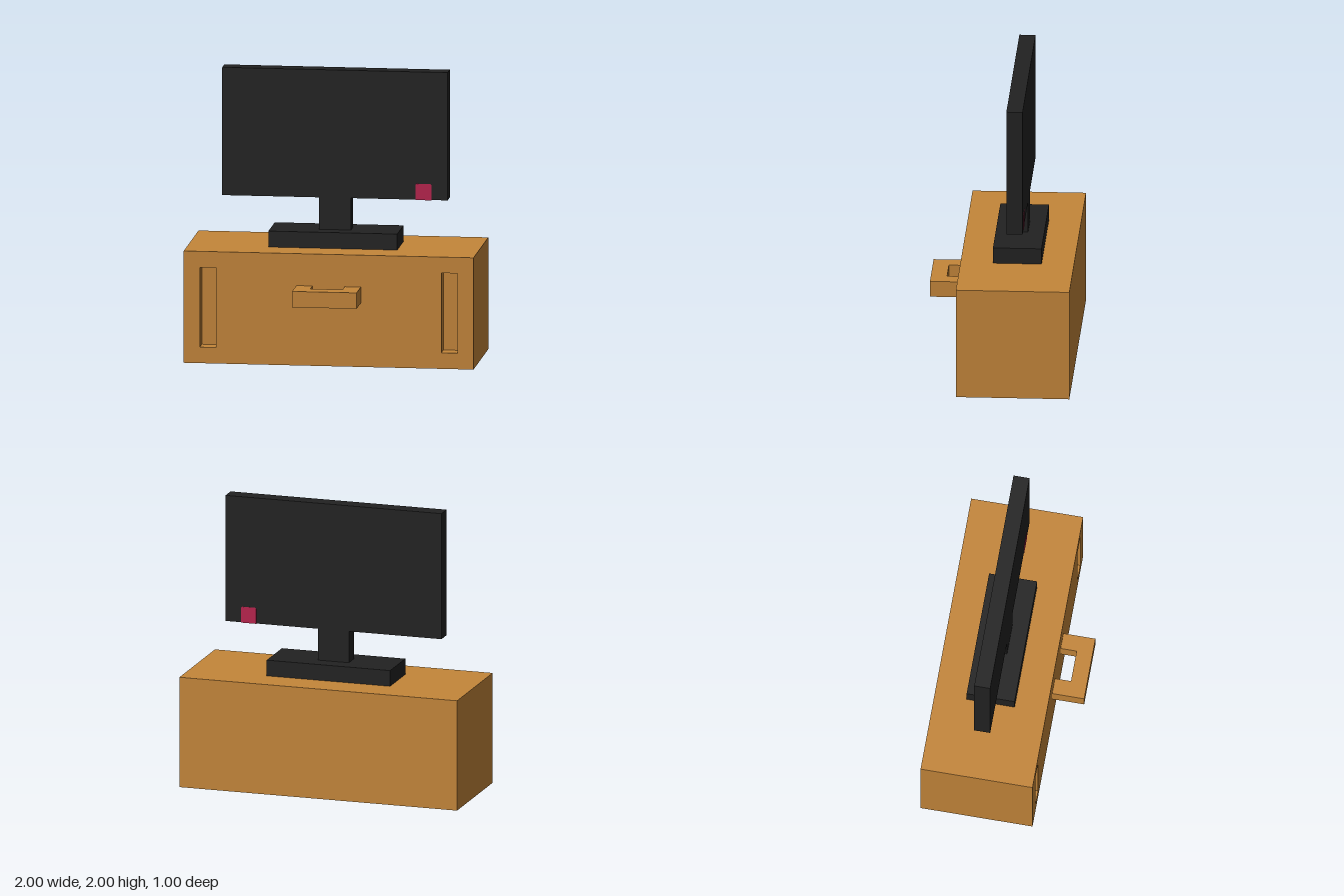
import * as THREE from 'three';

const U = 1 / 9; // building block size

export function createModel() {
  const model = new THREE.Group();
  const wood = new THREE.MeshStandardMaterial({ color: 0xc4863a });
  wood.name = 'wood';
  const black = new THREE.MeshStandardMaterial({ color: 0x222222 });
  black.name = 'black plastic';
  const red = new THREE.MeshStandardMaterial({ color: 0xb8234e });
  red.name = 'red light';

  const add = (name, geometry, material, parent = model) => {
    const mesh = new THREE.Mesh(geometry, material);
    mesh.name = name;
    parent.add(mesh);
    return mesh;
  };
  // Box from its limits, in blocks
  const box = (name, material, x0, x1, y0, y1, z0, z1, parent) => {
    const g = new THREE.BoxGeometry((x1 - x0) * U, (y1 - y0) * U, (z1 - z0) * U);
    g.translate((x0 + x1) * U / 2, (y0 + y1) * U / 2, (z0 + z1) * U / 2);
    return add(name, g, material, parent);
  };
  const polygon = (points, Type = THREE.Shape) =>
    new Type(points.map(([x, y]) => new THREE.Vector2(x * U, y * U)));
  const extrude = (shape, depth) =>
    new THREE.ExtrudeGeometry(shape, { depth: depth * U, bevelEnabled: false });

  // Cabinet: solid body and a front panel with two upright slots
  const cabinet = new THREE.Group();
  cabinet.name = 'cabinet';
  model.add(cabinet);
  box('cabinetBody', wood, -9, 9, 0, 7, -4.5, 1.5, cabinet);
  const panel = polygon([[-9, 0], [9, 0], [9, 7], [-9, 7]]);
  for (const x of [-8, 7]) {
    panel.holes.push(polygon([[x, 1], [x, 6], [x + 1, 6], [x + 1, 1]], THREE.Path));
  }
  add('cabinetFront', extrude(panel, 1).translate(0, 0, 1.5 * U), wood, cabinet);

  // U-shaped drawer handle, drawn in plan
  const grip = polygon([[-2, 2.5], [-1, 2.5], [-1, 3.5], [1, 3.5], [1, 2.5], [2, 2.5], [2, 4.5], [-2, 4.5]]);
  add('handle', extrude(grip, 1).rotateX(Math.PI / 2).translate(0, 5 * U, 0), wood, cabinet);

  // Television: foot, neck and screen
  const television = new THREE.Group();
  television.name = 'television';
  model.add(television);
  box('foot', black, -4, 4, 7, 8, -2.5, 0.5, television);
  box('neck', black, -1, 1, 8, 10, -1.5, -0.5, television);
  box('screen', black, -7, 7, 10, 18, -1.5, -0.5, television);

  // Power light: thin plates on the front, back and underside of the screen
  const c = 0.08, t = 0.02;
  const plate = polygon([[5, 10 - t], [6, 10 - t], [6, 11 - c], [6 - c, 11], [5 + c, 11], [5, 11 - c]]);
  add('lightFront', extrude(plate, t).translate(0, 0, -0.5 * U), red, television);
  add('lightBack', extrude(plate, t).translate(0, 0, (-1.5 - t) * U), red, television);
  box('lightUnderside', red, 5, 6, 10 - t, 10, -1.5, -0.5, television);

  return model;
}
